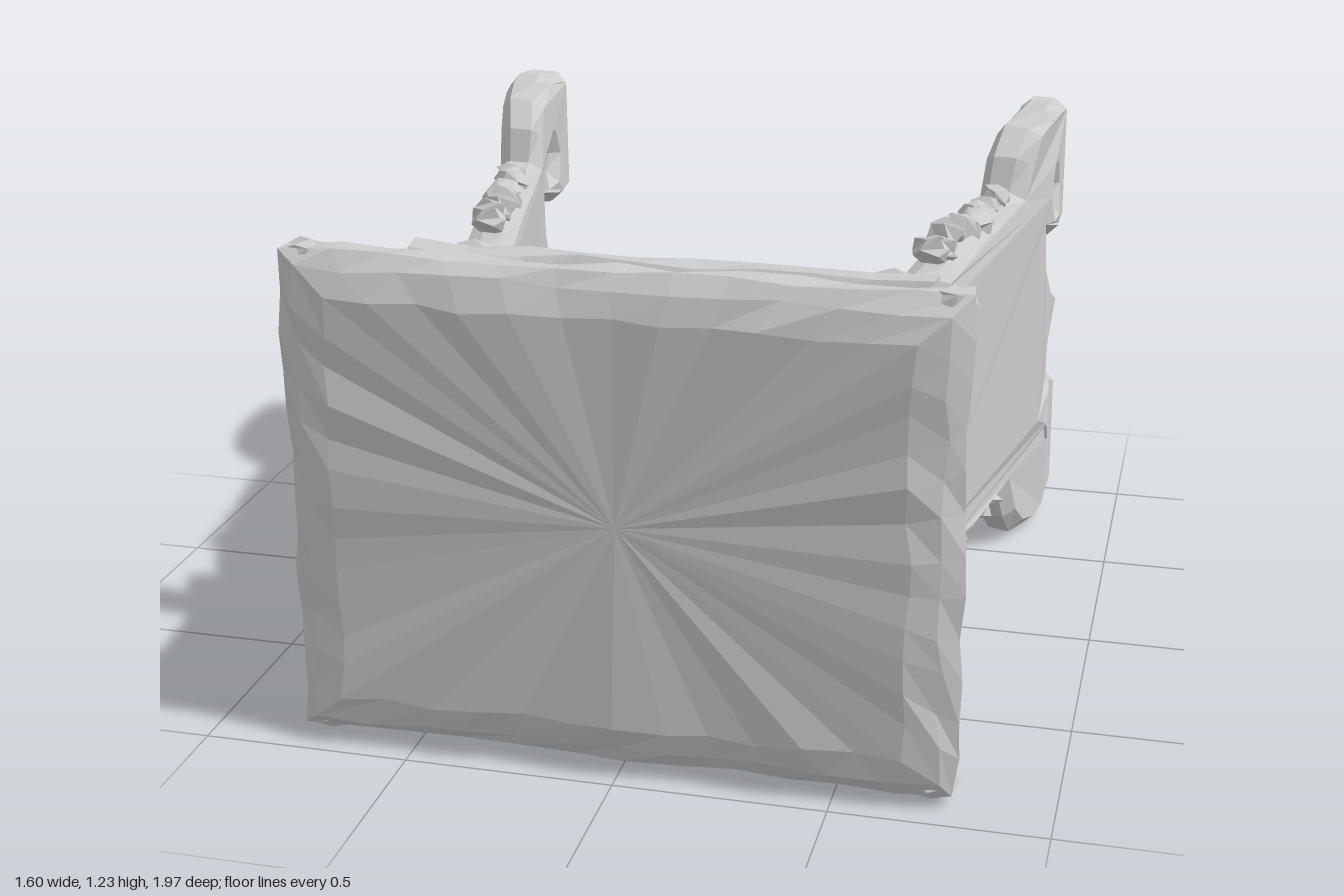
import * as THREE from 'three';

const MID = 0.62; // height of the mirror line between upper and lower halves
const material = new THREE.MeshStandardMaterial({ color: 0xcccccc, flatShading: true, side: THREE.DoubleSide });

// Seeded noise from a position, so that coincident corners move together
function noise(x, y, z, k) {
  const s = Math.sin(Math.round(x * 500) * 12.99 + Math.round(y * 500) * 78.23 + Math.round(z * 500) * 37.72 + k * 19.19) * 43758.55;
  return (s - Math.floor(s)) * 2 - 1;
}

// Rough-hewn surface: nudge every vertex a little
function hew(geometry, amount) {
  const p = geometry.attributes.position;
  for (let i = 0; i < p.count; i++) {
    const [x, y, z] = [p.getX(i), p.getY(i), p.getZ(i)];
    p.setXYZ(i, x + amount * noise(x, y, z, 1), y + amount * noise(x, y, z, 2), z + amount * noise(x, y, z, 3));
  }
  return geometry;
}

function addMesh(parent, name, geometry) {
  geometry.computeVertexNormals();
  const mesh = new THREE.Mesh(geometry, material);
  mesh.name = name;
  parent.add(mesh);
  return mesh;
}

// Rectangular rings [halfWidth, halfHeight, z] joined from back to front, with capped ends
function slab(rings, n, amount) {
  const pos = [], index = [], count = 4 * n;
  const corners = [[-1, -1], [1, -1], [1, 1], [-1, 1]];
  for (const [w, h, z] of rings) {
    for (let c = 0; c < 4; c++) {
      const a = corners[c], b = corners[(c + 1) % 4];
      for (let i = 0; i < n; i++) {
        const t = i / n;
        pos.push(w * (a[0] + (b[0] - a[0]) * t), MID + h * (a[1] + (b[1] - a[1]) * t), z);
      }
    }
  }
  const last = rings.length - 1;
  for (let r = 0; r < last; r++) {
    for (let i = 0; i < count; i++) {
      const a = r * count + i, b = r * count + (i + 1) % count;
      index.push(a, b, b + count, a, b + count, a + count);
    }
  }
  const back = pos.length / 3;
  pos.push(0, MID, rings[0][2], 0, MID, rings[last][2]);
  for (let i = 0; i < count; i++) {
    const j = (i + 1) % count;
    index.push(back, j, i, back + 1, last * count + i, last * count + j);
  }
  const g = new THREE.BufferGeometry();
  g.setAttribute('position', new THREE.Float32BufferAttribute(pos, 3));
  g.setIndex(index);
  return hew(g, amount);
}

// Small angular lump
function lump(parent, name, x, y, z, sx, sy, sz) {
  const g = hew(new THREE.DodecahedronGeometry(1, 0), 0.2);
  g.rotateX(z * 9).rotateY(y * 5).scale(sx, sy, sz).translate(x, y, z);
  addMesh(parent, name, g);
}

// Sideways position of a wing along its length
const track = [[0.45, 0.505], [0.35, 0.52], [-0.5, 0.67], [-0.75, 0.735], [-1, 0.735]];
function wingX(z) {
  for (let i = 1; i < track.length; i++) {
    const [z0, x0] = track[i - 1], [z1, x1] = track[i];
    if (z >= z1 || i === track.length - 1) return x0 + (x1 - x0) * (z - z0) / (z1 - z0);
  }
}

// Upper half of the wing outline as [z, height above the mirror line]
const upper = [
  [0.44, 0.36], [0.39, 0.41], [0.35, 0.44], [0.29, 0.43], [0.26, 0.34], [0.2, 0.38], [0.08, 0.39],
  [-0.05, 0.41], [-0.18, 0.42], [-0.32, 0.43], [-0.49, 0.43], [-0.52, 0.52], [-0.59, 0.585], [-0.7, 0.61],
  [-0.79, 0.61], [-0.9, 0.595], [-0.99, 0.58], [-0.985, 0.24], [-0.92, 0.21], [-0.84, 0.22],
  [-0.73, 0.255], [-0.75, 0.17], [-0.785, 0.1], [-0.86, 0.055], [-0.935, 0.03],
];
const curl = [-0.82, 0.36]; // centre of the scroll eye

function buildWing(side) {
  const wing = new THREE.Group();
  wing.name = side > 0 ? 'leftWing' : 'rightWing';
  const outline = [...upper, ...upper.map(([z, h]) => [z, -h]).reverse()];
  const shape = new THREE.Shape(outline.map(([z, h]) => new THREE.Vector2(-z, MID + h)));
  for (const v of [1, -1]) {
    const eye = [];
    for (let i = 0; i < 6; i++) {
      const a = i / 6 * Math.PI * 2;
      eye.push(new THREE.Vector2(-curl[0] + 0.045 * Math.cos(a), MID + v * (curl[1] + 0.06 * Math.sin(a))));
    }
    shape.holes.push(new THREE.Path(eye));
  }
  const body = new THREE.ExtrudeGeometry(shape, {
    depth: 0.055, bevelThickness: 0.03, bevelSize: 0.03, bevelOffset: -0.03, bevelSegments: 1, steps: 1,
  });
  body.translate(0, 0, -0.0275).rotateY(Math.PI / 2);
  hew(body, 0.007);
  const p = body.attributes.position;
  for (let i = 0; i < p.count; i++) p.setX(i, p.getX(i) + side * wingX(p.getZ(i)));
  addMesh(wing, 'wingPanel', body);

  for (const v of [1, -1]) {
    // Sunken floor of the scroll eye
    const floor = new THREE.CylinderGeometry(0.075, 0.075, 0.04, 6);
    floor.rotateZ(Math.PI / 2).translate(side * wingX(curl[0]), MID + v * curl[1], curl[0]);
    addMesh(wing, 'scrollEye', floor);
    // Ragged lumps along the edge
    for (let i = 0; i < 9; i++) {
      const z = 0.08 - i * 0.061;
      const size = 0.034 + 0.01 * noise(z, v, 0, 4);
      lump(wing, 'edgeLump', side * (wingX(z) + 0.012 * noise(z, v, 1, 5)),
        MID + v * (0.425 + 0.012 * noise(z, v, side, 6)), z, 0.045, size, size);
    }
    lump(wing, 'rootLump', side * 0.52, MID + v * 0.405, 0.33, 0.06, 0.05, 0.055);
  }
  return wing;
}

export function createModel() {
  const model = new THREE.Group();
  model.name = 'carvedBracket';

  // Large front board, bevelled toward the front, shallow recess behind
  addMesh(model, 'frontBoard', slab([
    [0.6, 0.46, 0.865], [0.66, 0.52, 0.845], [0.73, 0.565, 0.84], [0.77, 0.59, 0.865],
    [0.775, 0.59, 0.915], [0.735, 0.555, 0.945], [0.66, 0.49, 0.965],
  ], 12, 0.009));

  // Neck between the two boards, flared where it meets the front
  addMesh(model, 'neck', slab([
    [0.525, 0.37, 0.47], [0.51, 0.37, 0.62], [0.495, 0.375, 0.77], [0.51, 0.4, 0.82], [0.56, 0.43, 0.86],
  ], 5, 0.008));

  // Middle board carrying the wings, with a recessed back
  addMesh(model, 'middleBoard', slab([
    [0.46, 0.32, 0.445], [0.52, 0.38, 0.405], [0.6, 0.44, 0.4], [0.64, 0.475, 0.425],
    [0.64, 0.475, 0.48], [0.6, 0.44, 0.51],
  ], 9, 0.009));

  for (const v of [1, -1]) {
    lump(model, 'neckBoss', -0.01, MID + v * 0.41, 0.71, 0.08, 0.07, 0.07);
    for (const s of [1, -1]) {
      // Worn corners of the front board
      lump(model, 'boardCorner', s * 0.72, MID + v * 0.565, 0.885, 0.062, 0.042, 0.042);
      // Splinters behind the front board
      for (const [x, h] of [[0.62, 0.5], [0.7, 0.3]]) {
        const splinter = new THREE.ConeGeometry(0.012, 0.15, 3);
        splinter.rotateX(-Math.PI / 2).rotateY(-s * 0.6).translate(s * x, MID + v * h, 0.79);
        addMesh(model, 'splinter', splinter);
      }
    }
  }

  for (const side of [1, -1]) model.add(buildWing(side));
  return model;
}
